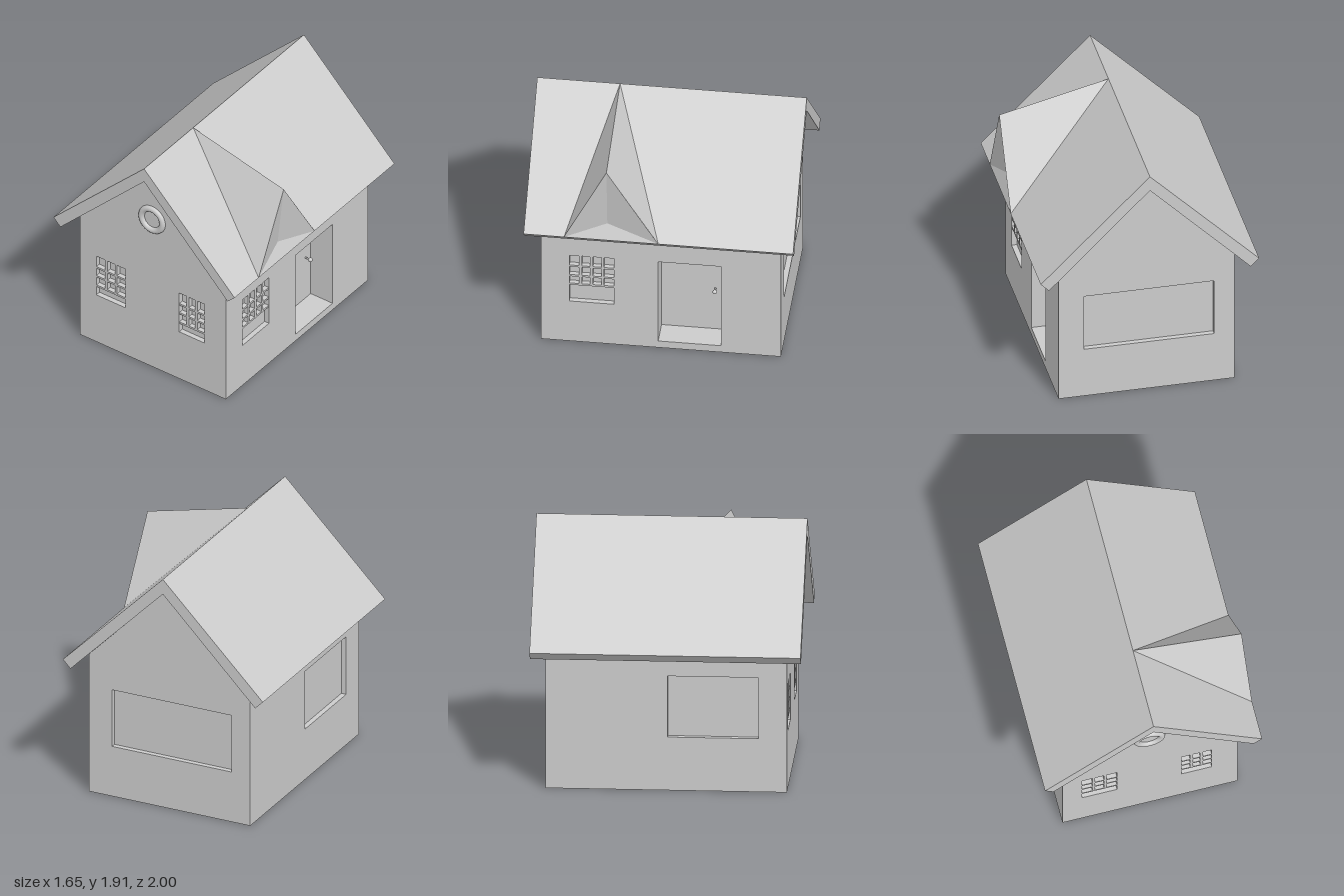
import * as THREE from 'three';

const mat = new THREE.MeshStandardMaterial({ color: 0xcccccc, flatShading: true });
const smooth = new THREE.MeshStandardMaterial({ color: 0xcccccc });
const thin = new THREE.MeshStandardMaterial({ color: 0xcccccc, flatShading: true, side: THREE.DoubleSide });

const HALF_W = 0.665, HALF_L = 0.89, EAVE = 1.116, RIDGE = 1.79, INSET = 0.04;

function add(parent, name, geometry, material = mat) {
  const mesh = new THREE.Mesh(geometry, material);
  mesh.name = name;
  parent.add(mesh);
  return mesh;
}

// Box given by its two opposite corners
function box(parent, name, [x0, y0, z0], [x1, y1, z1]) {
  const mesh = add(parent, name, new THREE.BoxGeometry(x1 - x0, y1 - y0, z1 - z0));
  mesh.position.set((x0 + x1) / 2, (y0 + y1) / 2, (z0 + z1) / 2);
  return mesh;
}

const toPoints = (list) => list.map(([x, y]) => new THREE.Vector2(x, y));

function extrude(outline, depth, holes = []) {
  const shape = new THREE.Shape(toPoints(outline));
  for (const [x0, y0, x1, y1] of holes) {
    shape.holes.push(new THREE.Path(toPoints([[x0, y0], [x0, y1], [x1, y1], [x1, y0]])));
  }
  return new THREE.ExtrudeGeometry(shape, { depth, bevelEnabled: false });
}

// A wall in its own frame: outer face on local z = 0, pierced by openings
function wall(house, name, angle, distance, outline, depth, holes) {
  const side = new THREE.Group();
  side.name = name;
  side.rotation.y = angle;
  side.position.set(Math.sin(angle) * distance, 0, Math.cos(angle) * distance);
  add(side, name + 'Panel', extrude(outline, depth, holes)).position.z = -depth;
  house.add(side);
  return side;
}

// Glazing bars across the upper part of a window opening
function bars(side, [x0, y0, x1, y1], columns, rails) {
  const w = 0.02, back = -INSET, front = -0.003;
  for (const y of rails) box(side, 'windowRail', [x0, y - 0.008, back], [x1, y + 0.008, front]);
  for (let i = 1; i < columns; i++) {
    const x = x0 + ((x1 - x0) * i) / columns;
    box(side, 'windowBar', [x - w / 2, rails[0], back], [x + w / 2, y1, front]);
  }
}

export function createModel() {
  const house = new THREE.Group();
  house.name = 'house';

  // Solid core behind the wall panels
  box(house, 'core', [-HALF_W + INSET, 0, -HALF_L + INSET], [HALF_W - 0.2, EAVE, HALF_L - INSET]);

  const gable = [[-HALF_W, 0], [HALF_W, 0], [HALF_W, EAVE], [0, RIDGE], [-HALF_W, EAVE]];
  const l = HALF_L - INSET;
  const plain = [[-l, 0], [l, 0], [l, EAVE], [-l, EAVE]];

  // Front gable with two windows and a round ornament
  const frontWindows = [[-0.515, 0.435, -0.25, 0.795], [0.24, 0.435, 0.47, 0.795]];
  const front = wall(house, 'frontWall', 0, HALF_L, gable, INSET, frontWindows);
  for (const w of frontWindows) bars(front, w, 3, [0.518, 0.605, 0.688]);
  add(front, 'gableRing', new THREE.TorusGeometry(0.095, 0.025, 16, 48), smooth).position.set(-0.005, 1.37, 0);

  // Back gable with one wide opening
  wall(house, 'backWall', Math.PI, HALF_L, gable, INSET, [[-0.475, 0.405, 0.51, 0.865]]);

  // Plain side with one opening
  wall(house, 'rightWall', -Math.PI / 2, HALF_W, plain, INSET, [[0.01, 0.41, 0.68, 0.88]]);

  // Door side: deep doorway and a barred window
  const sideWindow = [-0.68, 0.37, -0.35, 0.795];
  const entry = wall(house, 'leftWall', Math.PI / 2, HALF_W, plain, 0.2, [sideWindow, [-0.02, 0.06, 0.445, 0.795]]);
  box(entry, 'windowPane', [-0.68, 0.37, -0.2], [-0.35, 0.795, -INSET]);
  bars(entry, sideWindow, 4, [0.528, 0.607, 0.695]);
  const stem = add(entry, 'doorKnobStem', new THREE.CylinderGeometry(0.007, 0.007, 0.04, 12), smooth);
  stem.rotation.x = Math.PI / 2;
  stem.position.set(0.38, 0.435, -0.18);
  add(entry, 'doorKnob', new THREE.SphereGeometry(0.017, 16, 12), smooth).position.set(0.38, 0.435, -0.155);

  // Thick pitched roof
  const roof = extrude([[0, 1.91], [-0.825, 1.085], [-0.762, 1.022], [0, RIDGE], [0.762, 1.022], [0.825, 1.085]], 2);
  add(house, 'roof', roof).position.z = -1;

  // Pointed dormer running out from the ridge, with a slightly sunken face
  const p = {
    apex: [0, 1.91, 0.385], tip: [0.825, 1.71, 0.385],
    near: [0.825, 1.085, 0.7], far: [0.825, 1.085, 0],
    nearEdge: [0.825, 1.22, 0.632], farEdge: [0.825, 1.23, 0.09], sunk: [0.77, 1.2, 0.385],
  };
  const triangles = (list) => {
    const g = new THREE.BufferGeometry();
    g.setAttribute('position', new THREE.Float32BufferAttribute(list.flat().flatMap((k) => p[k]), 3));
    g.computeVertexNormals();
    return g;
  };
  add(house, 'dormerRoof', triangles([['apex', 'near', 'tip'], ['apex', 'tip', 'far']]), thin);
  add(house, 'dormerFace', triangles([
    ['tip', 'nearEdge', 'sunk'], ['tip', 'sunk', 'farEdge'],
    ['nearEdge', 'near', 'sunk'], ['sunk', 'near', 'far'], ['sunk', 'far', 'farEdge'],
  ]), thin);

  return house;
}
